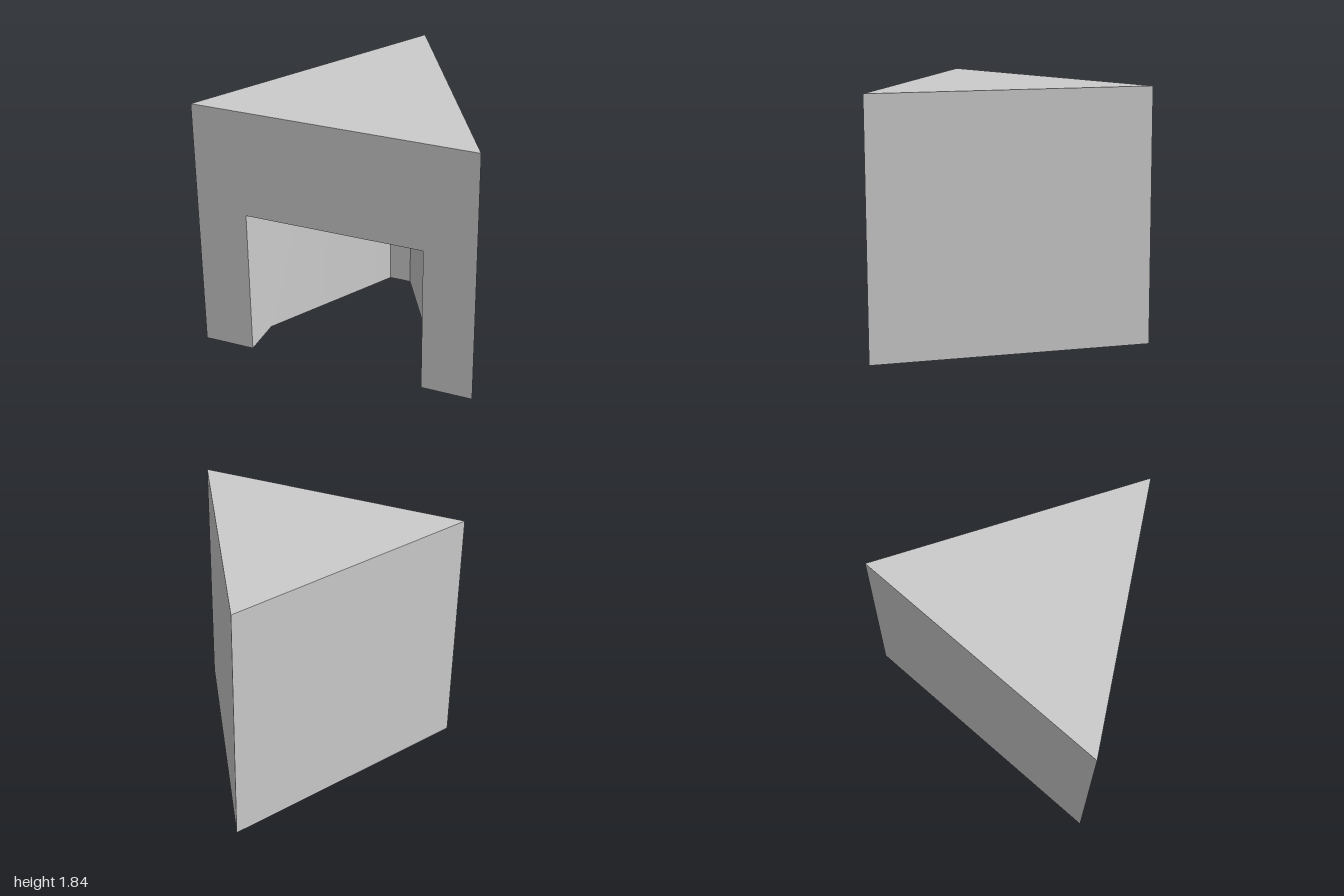
import * as THREE from 'three';
import { mergeGeometries, toCreasedNormals } from 'three/addons/utils/BufferGeometryUtils.js';

const HEIGHT = 1.835, ARCH = 1.07, FRONT = 0.866;
const HOLE_RADIUS = 0.05, HOLE_DEPTH = 0.2;

// Plan outlines as [x, z]
const triangle = [[-1, FRONT], [1, FRONT], [0, -FRONT]];
const cavity = [[-0.635, FRONT], [-0.635, 0.567], [-0.08, -0.393], [0.08, -0.393], [0.635, 0.567], [0.635, FRONT]];
const holeCentres = [[0.783, 0.745], [-0.783, 0.745], [0, -0.612]];

const toPoints = (list) => list.map(([a, b]) => new THREE.Vector2(a, b));

function circle([cx, cz], n = 32) {
  return Array.from({ length: n + 1 }, (_, i) => {
    const t = ((i % n) / n) * Math.PI * 2;
    return [cx + HOLE_RADIUS * Math.cos(t), cz + HOLE_RADIUS * Math.sin(t)];
  });
}

// Upright strip along a plan outline, facing right of the direction of travel
function wall(path, y0, y1) {
  const pos = [];
  for (let i = 0; i + 1 < path.length; i++) {
    const [ax, az] = path[i], [bx, bz] = path[i + 1];
    pos.push(ax, y0, az, bx, y0, bz, bx, y1, bz, ax, y0, az, bx, y1, bz, ax, y1, az);
  }
  return new THREE.BufferGeometry().setAttribute('position', new THREE.Float32BufferAttribute(pos, 3));
}

// Flat face of a shape, stripped to positions so that it merges with the walls
function flat(shape) {
  const g = new THREE.ShapeGeometry(shape).toNonIndexed();
  g.deleteAttribute('uv');
  g.deleteAttribute('normal');
  return g;
}

// Horizontal face looking down
function ceiling(outline, y, holes = []) {
  const shape = new THREE.Shape(toPoints(outline));
  shape.holes = holes.map((h) => new THREE.Path(toPoints(h)));
  return flat(shape).rotateX(Math.PI / 2).translate(0, y, 0);
}

export function createModel() {
  const group = new THREE.Group();
  const material = new THREE.MeshStandardMaterial({ color: 0xcccccc });
  const add = (name, parts) => {
    const mesh = new THREE.Mesh(toCreasedNormals(mergeGeometries(parts), 0.6), material);
    mesh.name = name;
    group.add(mesh);
  };

  const circles = holeCentres.map((c) => circle(c));
  const rims = circles.map((c) => c.slice(0, -1));

  // Triangular shell: top, two closed sides, front with a square opening
  const top = flat(new THREE.Shape(toPoints(triangle.map(([x, z]) => [x, -z]))))
    .rotateX(-Math.PI / 2).translate(0, HEIGHT, 0);
  const sides = wall([triangle[1], triangle[2], triangle[0]], 0, HEIGHT);
  const front = flat(new THREE.Shape(toPoints([
    [-1, 0], [-0.635, 0], [-0.635, ARCH], [0.635, ARCH], [0.635, 0], [1, 0], [1, HEIGHT], [-1, HEIGHT],
  ]))).translate(0, 0, FRONT);
  add('outerShell', [top, sides, front]);

  // Recess behind the opening
  add('cavity', [wall(cavity, 0, ARCH), ceiling(cavity, ARCH)]);

  // Underside with a round socket in each corner
  const footprint = [triangle[0], ...cavity, triangle[1], triangle[2]];
  add('base', [ceiling(footprint, 0, rims)]);
  circles.forEach((c, i) => add('cornerSocket' + (i + 1), [wall(c, 0, HOLE_DEPTH), ceiling(rims[i], HOLE_DEPTH)]));

  return group;
}
